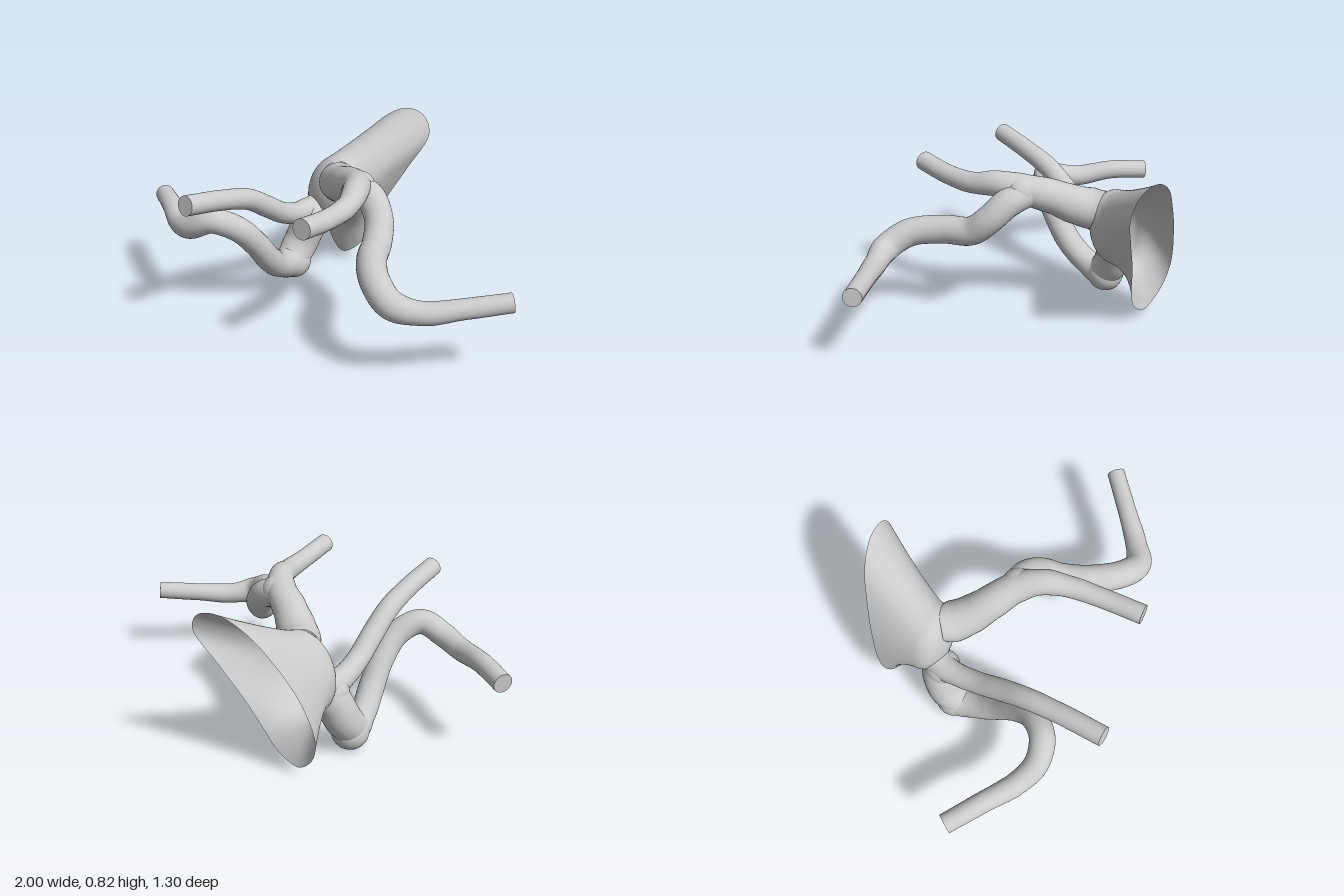
import * as THREE from 'three';

const material = new THREE.MeshStandardMaterial({ color: 0xcccccc, side: THREE.DoubleSide });

function addMesh(parent, geometry, name) {
  const mesh = new THREE.Mesh(geometry, material);
  mesh.name = name;
  parent.add(mesh);
  return mesh;
}

// Smooth tube through stations [x, y, z, radius], with a flat cap on its free end.
// The first station is buried in the body.
function vessel(name, stations) {
  const group = new THREE.Group();
  group.name = name;
  const curve = new THREE.CatmullRomCurve3(stations.map(s => new THREE.Vector3(s[0], s[1], s[2])));
  const steps = 90, sides = 32;
  const geometry = new THREE.TubeGeometry(curve, steps, 1, sides, false);
  const position = geometry.attributes.position, normal = geometry.attributes.normal;
  const p = new THREE.Vector3(), n = new THREE.Vector3();
  for (let i = 0; i <= steps; i++) {
    const f = curve.getUtoTmapping(i / steps) * (stations.length - 1);
    const k = Math.min(Math.floor(f), stations.length - 2);
    const radius = THREE.MathUtils.lerp(stations[k][3], stations[k + 1][3], THREE.MathUtils.smoothstep(f - k, 0, 1));
    const centre = curve.getPointAt(i / steps);
    for (let j = 0; j <= sides; j++) {
      const v = i * (sides + 1) + j;
      n.fromBufferAttribute(normal, v);
      p.copy(centre).addScaledVector(n, radius);
      position.setXYZ(v, p.x, p.y, p.z);
    }
  }
  addMesh(group, geometry, name + 'Wall');

  const last = stations[stations.length - 1];
  const cap = addMesh(group, new THREE.CircleGeometry(last[3], sides), name + 'Cap');
  cap.position.set(last[0], last[1], last[2]);
  cap.quaternion.setFromUnitVectors(new THREE.Vector3(0, 0, 1), curve.getTangentAt(1));
  return group;
}

// Flared chamber: an irregular open rim lofted to an oval throat, closed by a dome.
function chamber() {
  const rim = new THREE.CatmullRomCurve3([
    [-0.02, 0.82, -0.65], [0.08, 0.795, -0.65], [0.12, 0.71, -0.635], [0.04, 0.54, -0.575],
    [-0.05, 0.37, -0.52], [-0.12, 0.2, -0.465], [-0.17, 0.1, -0.44], [-0.27, 0.04, -0.43],
    [-0.36, 0.12, -0.45], [-0.39, 0.25, -0.48], [-0.34, 0.45, -0.525], [-0.25, 0.62, -0.575],
    [-0.14, 0.76, -0.625],
  ].map(a => new THREE.Vector3(...a)), true);
  const around = 72, wallSteps = 24, domeSteps = 10;
  const centre = new THREE.Vector3(-0.215, 0.445, -0.29);
  const positions = [], indices = [];
  for (let i = 0; i <= wallSteps + domeSteps; i++) {
    for (let j = 0; j < around; j++) {
      const u = j / around * Math.PI * 2, c = Math.cos(u), s = Math.sin(u);
      const throat = new THREE.Vector3(0.06 * c + 0.14 * s, 0.19 * c - 0.04 * s, 0);
      if (i <= wallSteps) {
        // The wall runs nearly straight at the top and flares late at the bottom
        const t = 1 - i / wallSteps;
        const w = Math.pow(t, 1.15 + 1.7 * Math.pow((1 - c) / 2, 3));
        const r = rim.getPoint(j / around);
        throat.add(centre);
        positions.push(
          THREE.MathUtils.lerp(throat.x, r.x, w),
          THREE.MathUtils.lerp(throat.y, r.y, w),
          THREE.MathUtils.lerp(throat.z, r.z, t));
      } else {
        const a = (i - wallSteps) / domeSteps * Math.PI / 2;
        throat.multiplyScalar(Math.cos(a)).add(centre);
        positions.push(throat.x, throat.y, throat.z + 0.11 * Math.sin(a));
      }
    }
  }
  for (let i = 0; i < wallSteps + domeSteps; i++) {
    for (let j = 0; j < around; j++) {
      const a = i * around + j, b = i * around + (j + 1) % around;
      indices.push(a, b, a + around, b, b + around, a + around);
    }
  }
  const geometry = new THREE.BufferGeometry();
  geometry.setAttribute('position', new THREE.Float32BufferAttribute(positions, 3));
  geometry.setIndex(indices);
  geometry.computeVertexNormals();
  return geometry;
}

export function createModel() {
  const model = new THREE.Group();
  model.name = 'branchingVessel';
  addMesh(model, chamber(), 'flaredChamber');

  // Upper trunk running on into the forward branch
  model.add(vessel('upperForwardBranch', [
    [-0.17, 0.54, -0.25, 0.085], [-0.135, 0.54, -0.2, 0.097], [-0.08, 0.56, -0.14, 0.09],
    [0.0, 0.605, -0.07, 0.08], [0.1, 0.645, 0.01, 0.072], [0.165, 0.665, 0.11, 0.06],
    [0.205, 0.645, 0.24, 0.05], [0.215, 0.645, 0.4, 0.046], [0.21, 0.665, 0.585, 0.046],
  ]));

  // Side branch splitting off the upper trunk
  model.add(vessel('leftSideBranch', [
    [0.07, 0.635, -0.02, 0.06], [0.19, 0.605, 0.02, 0.068], [0.265, 0.53, 0.07, 0.066],
    [0.305, 0.46, 0.15, 0.067], [0.36, 0.445, 0.28, 0.067], [0.46, 0.42, 0.41, 0.066],
    [0.565, 0.365, 0.455, 0.064], [0.68, 0.335, 0.4, 0.052], [0.83, 0.35, 0.285, 0.045],
    [0.98, 0.37, 0.165, 0.043],
  ]));

  // Forward branch from the lower half of the chamber
  model.add(vessel('rightForwardBranch', [
    [-0.28, 0.365, -0.24, 0.07], [-0.305, 0.36, -0.17, 0.062], [-0.315, 0.37, -0.09, 0.054],
    [-0.32, 0.41, 0.02, 0.052], [-0.325, 0.48, 0.13, 0.052], [-0.335, 0.56, 0.26, 0.05],
    [-0.35, 0.61, 0.43, 0.047], [-0.375, 0.65, 0.64, 0.046],
  ]));

  // Side branch dropping through a low bulb, then rising and turning outward
  model.add(vessel('rightSideBranch', [
    [-0.275, 0.35, -0.225, 0.07], [-0.315, 0.27, -0.195, 0.088], [-0.345, 0.17, -0.155, 0.088],
    [-0.355, 0.1, -0.08, 0.08], [-0.35, 0.12, 0.02, 0.062], [-0.335, 0.2, 0.12, 0.062],
    [-0.335, 0.31, 0.21, 0.06], [-0.365, 0.42, 0.31, 0.06], [-0.45, 0.47, 0.39, 0.06],
    [-0.56, 0.42, 0.41, 0.058], [-0.67, 0.395, 0.365, 0.053], [-0.82, 0.415, 0.26, 0.048],
    [-0.97, 0.405, 0.15, 0.046],
  ]));

  // Rounded swellings where branches meet
  for (const [name, x, y, z, r] of [
    ['upperFork', 0.12, 0.64, 0.01, 0.075],
    ['lowerBulb', -0.355, 0.092, -0.11, 0.09],
    ['lowerFork', -0.295, 0.325, -0.19, 0.085],
  ]) addMesh(model, new THREE.SphereGeometry(r, 32, 20), name).position.set(x, y, z);

  return model;
}
